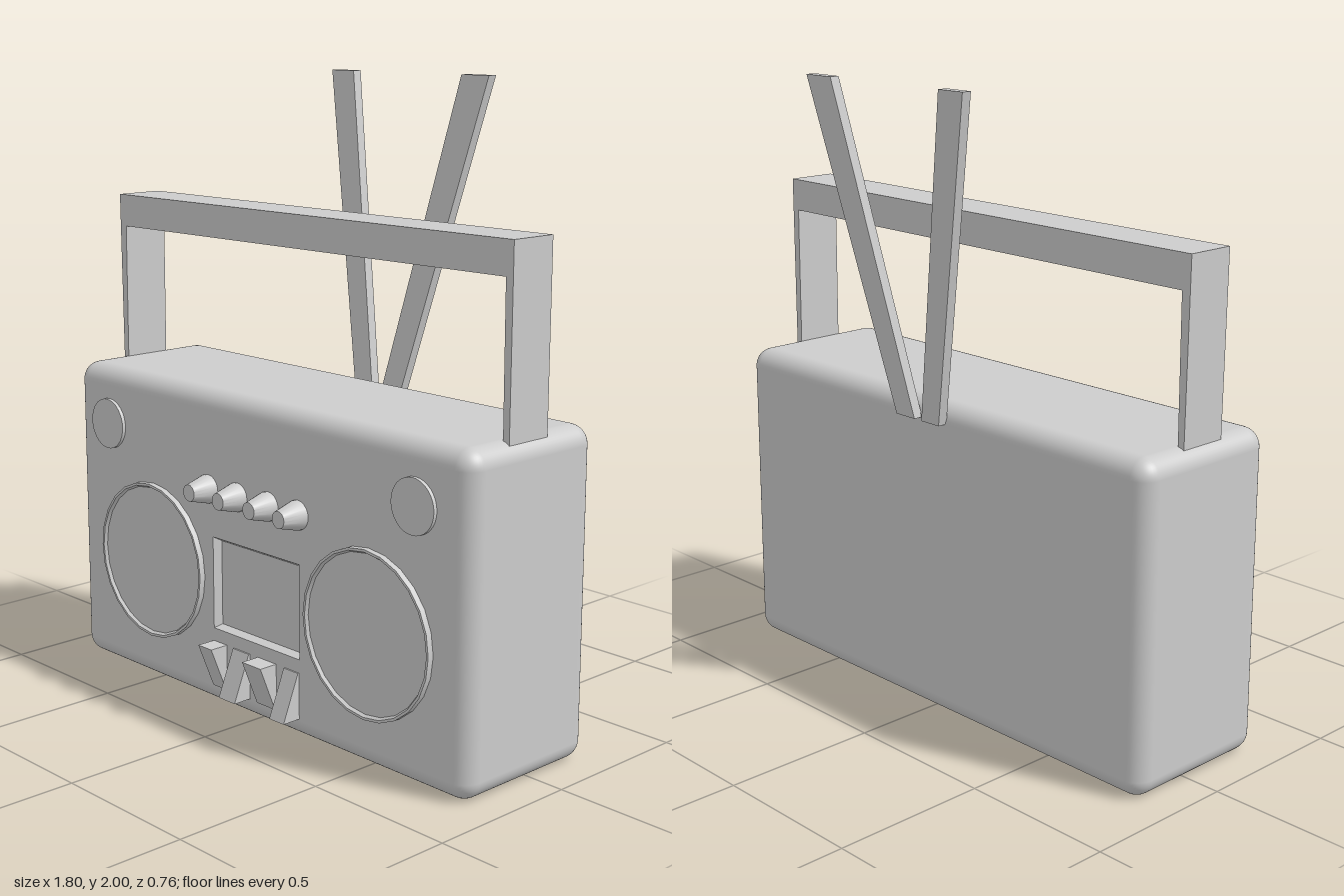
import * as THREE from 'three';
import { toCreasedNormals } from 'three/addons/utils/BufferGeometryUtils.js';
import { RoundedBoxGeometry } from 'three/addons/geometries/RoundedBoxGeometry.js';

const FRONT = 0.3, BACK = -0.235, W = 1.8, Y0 = 0.003, Y1 = 1.03, R = 0.06;

export function createModel() {
  const model = new THREE.Group();
  const grey = new THREE.MeshStandardMaterial({ color: 0xcccccc });
  grey.name = 'plain grey';

  const add = (name, geometry, x = 0, y = 0, z = 0) => {
    const mesh = new THREE.Mesh(geometry, grey);
    mesh.name = name;
    mesh.position.set(x, y, z);
    model.add(mesh);
    return mesh;
  };

  // Unit box whose corners are moved by a rule of (x, y, z) in 0..1
  const shapedBox = (rule) => {
    const g = new THREE.BoxGeometry(1, 1, 1).toNonIndexed();
    const p = g.attributes.position;
    for (let i = 0; i < p.count; i++) {
      p.setXYZ(i, ...rule(p.getX(i) + 0.5, p.getY(i) + 0.5, p.getZ(i) + 0.5));
    }
    g.computeVertexNormals();
    return g;
  };
  const mix = THREE.MathUtils.lerp;

  const rectangle = (target, x0, x1, y0, y1) => {
    target.moveTo(x0, y0);
    target.lineTo(x1, y0);
    target.lineTo(x1, y1);
    target.lineTo(x0, y1);
    target.closePath();
    return target;
  };

  // Rounded case, with its flat front left out so the panel can have an opening
  const depth = FRONT - BACK;
  const rounded = new RoundedBoxGeometry(W, Y1 - Y0, depth, 5, R);
  const pos = rounded.attributes.position, nor = rounded.attributes.normal;
  const keptPos = [], keptNor = [];
  for (let i = 0; i < pos.count; i += 3) {
    const flatFront = [0, 1, 2].every((k) => pos.getZ(i + k) > depth / 2 - 1e-4);
    if (flatFront) continue;
    for (let k = 0; k < 3; k++) {
      keptPos.push(pos.getX(i + k), pos.getY(i + k), pos.getZ(i + k));
      keptNor.push(nor.getX(i + k), nor.getY(i + k), nor.getZ(i + k));
    }
  }
  const shell = new THREE.BufferGeometry();
  shell.setAttribute('position', new THREE.Float32BufferAttribute(keptPos, 3));
  shell.setAttribute('normal', new THREE.Float32BufferAttribute(keptNor, 3));
  add('case', shell, 0, (Y0 + Y1) / 2, (FRONT + BACK) / 2);

  // Front panel with the cassette opening
  const outer = [-0.19, 0.213, 0.26, 0.562], inner = [-0.183, 0.192, 0.268, 0.545];
  const panel = rectangle(new THREE.Shape(), -W / 2 + R, W / 2 - R, Y0 + R, Y1 - R);
  panel.holes.push(rectangle(new THREE.Path(), ...outer));
  add('frontPanel', new THREE.ShapeGeometry(panel), 0, 0, FRONT);

  // Cassette recess: four sloping walls and a floor
  const ring = ([x0, x1, y0, y1], z) => [[x0, y0, z], [x1, y0, z], [x1, y1, z], [x0, y1, z]];
  const a = ring(outer, FRONT), b = ring(inner, FRONT - 0.03);
  const faces = [];
  const quad = (p, q, r, s) => faces.push(...p, ...q, ...r, ...p, ...r, ...s);
  for (let i = 0; i < 4; i++) {
    const j = (i + 1) % 4;
    quad(a[i], a[j], b[j], b[i]);
  }
  quad(...b);
  const recess = new THREE.BufferGeometry();
  recess.setAttribute('position', new THREE.Float32BufferAttribute(faces, 3));
  recess.computeVertexNormals();
  add('cassetteRecess', recess);

  // Turned parts that face forward
  const turned = (points, sides) => {
    const g = new THREE.LatheGeometry(points.map(([r, h]) => new THREE.Vector2(r, h)), sides);
    g.rotateX(Math.PI / 2);
    return toCreasedNormals(g, 0.6);
  };

  // Large speakers with a thin raised rim
  for (const x of [-0.493, 0.51]) {
    add('speaker', turned([[0.26, -0.01], [0.26, 0.02], [0.252, 0.02], [0.246, 0.01], [0, 0.01]], 24), x, 0.42, FRONT);
  }

  // Small upper speakers
  for (const x of [-0.72, 0.693]) {
    add('smallSpeaker', turned([[0.084, -0.01], [0.084, 0.012], [0, 0.012]], 32), x, 0.843, FRONT);
  }

  // Tapered knobs
  for (const x of [-0.21, -0.07, 0.074, 0.208]) {
    add('knob', turned([[0.046, -0.01], [0.046, 0.01], [0.027, 0.08], [0, 0.08]], 20), x, 0.716, FRONT);
  }

  // Wedge keys, tilted alternately down and up
  [[-0.192, -0.128], [-0.093, -0.017], [0.021, 0.107], [0.147, 0.212]].forEach(([x0, x1], i) => {
    const [low, high] = i % 2 ? [0.365, 0.305] : [0.305, 0.365];
    add('key', shapedBox((x, y, z) => [mix(x0, x1, x), mix(0.068, 0.217, y), mix(0.29, mix(low, high, y), z)]));
  });

  // Carrying handle
  const arch = new THREE.Shape();
  const outline = [
    [-0.87, 1], [-0.848, 1], [-0.846, 1.477], [0.853, 1.486],
    [0.855, 1], [0.878, 1], [0.88, 1.59], [-0.877, 1.583],
  ];
  arch.setFromPoints(outline.map(([x, y]) => new THREE.Vector2(x, y)));
  add('handle', new THREE.ExtrudeGeometry(arch, { depth: 0.163, bevelEnabled: false }), 0, 0, -0.043);

  // Flat aerials leaning outward and back
  const aerials = [
    ['rightAerial', [-0.09, -0.012], [-0.325, -0.225]],
    ['leftAerial', [0.02, 0.103], [0.25, 0.363]],
  ];
  for (const [name, foot, tip] of aerials) {
    add(name, shapedBox((x, y, z) => [
      mix(mix(...foot, x), mix(...tip, x), y),
      mix(0.97, 2, y),
      mix(mix(-0.262, -0.23, z), mix(-0.378, -0.346, z), y),
    ]));
  }

  return model;
}
